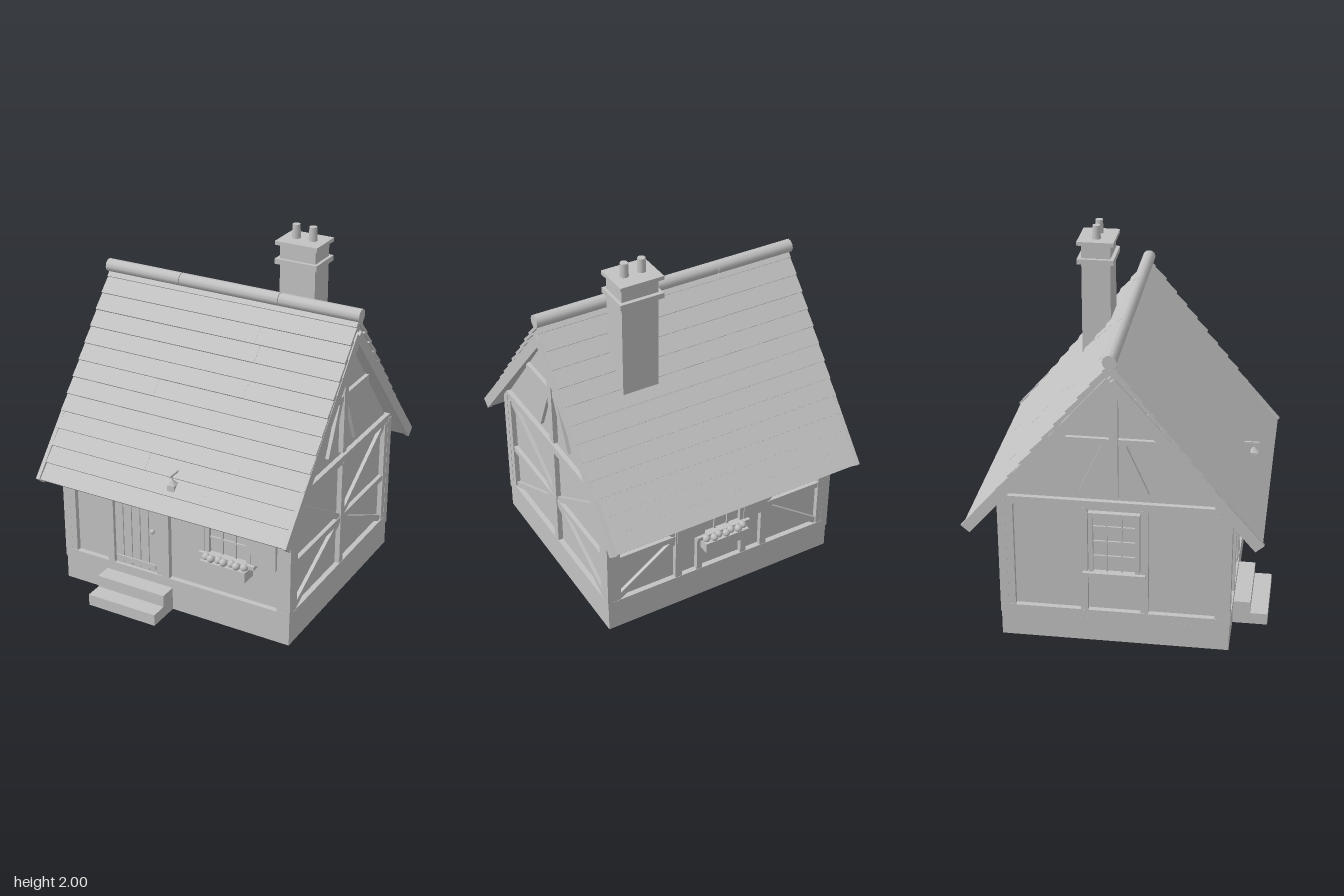
import * as THREE from 'three';

const stone = new THREE.MeshStandardMaterial({ color: 0xc2c2c2 });
stone.name = 'plain grey';

function add(parent, name, geo, x = 0, y = 0, z = 0) {
  const m = new THREE.Mesh(geo, stone);
  m.name = name;
  m.position.set(x, y, z);
  parent.add(m);
  return m;
}

// box given by its minimum and maximum on each axis
function span(parent, name, x0, x1, y0, y1, z0, z1) {
  return add(parent, name, new THREE.BoxGeometry(x1 - x0, y1 - y0, z1 - z0),
    (x0 + x1) / 2, (y0 + y1) / 2, (z0 + z1) / 2);
}

// timber lying on a wall, from (u1,v1) to (u2,v2)
function beam(wall, name, u1, v1, u2, v2, w = 0.04, d = 0.028) {
  const len = Math.hypot(u2 - u1, v2 - v1);
  const m = add(wall, name, new THREE.BoxGeometry(len, w, d), (u1 + u2) / 2, (v1 + v2) / 2, d / 2);
  m.rotation.z = Math.atan2(v2 - v1, u2 - u1);
  return m;
}

// wall group: local x runs along the wall, local z points outwards
function wallGroup(parent, name, angle, dist) {
  const g = new THREE.Group();
  g.name = name;
  g.rotation.y = angle;
  g.position.set(Math.sin(angle) * dist, 0, Math.cos(angle) * dist);
  parent.add(g);
  return g;
}

let seed = 7;
const rand = () => (seed = (seed * 16807) % 2147483647) / 2147483647;

function addWindow(wall, u, shutters, box) {
  const g = new THREE.Group();
  g.name = 'window';
  g.position.x = u;
  wall.add(g);
  const h = 0.135, b = 0.43, t = 0.78;
  span(g, 'glass', -h, h, b, t, 0, 0.008);
  for (const s of [-1, 1]) beam(g, 'windowJamb', s * (h - 0.012), b, s * (h - 0.012), t, 0.024, 0.03);
  beam(g, 'windowHead', -h, t - 0.012, h, t - 0.012, 0.024, 0.03);
  for (const x of [-0.04, 0.04]) beam(g, 'glazingBar', x, b, x, t, 0.01, 0.018);
  for (const k of [1, 2, 3]) beam(g, 'glazingBar', -h, b + k * 0.0875, h, b + k * 0.0875, 0.01, 0.018);
  span(g, 'windowSill', -h - 0.03, h + 0.03, 0.408, 0.43, 0, 0.05);
  if (shutters) for (const s of [-1, 1]) {
    const x = s * (h + 0.075);
    span(g, 'shutter', x - 0.073, x + 0.073, b, t, 0, 0.032);
  }
  if (box) {
    span(g, 'flowerBox', -h, h, 0.345, 0.405, 0, 0.088);
    for (let i = 0; i < 7; i++)
      add(g, 'flower', new THREE.IcosahedronGeometry(0.022, 1), -0.115 + i * 0.038, 0.416 + 0.006 * (i % 2), 0.055 + 0.018 * (i % 2));
  }
}

// upper and lower brace with a middle rail, between an outer and an inner post
function braces(wall, outer, inner) {
  beam(wall, 'middleRail', outer, 0.463, inner, 0.463, 0.034, 0.024);
  beam(wall, 'upperBrace', outer, 0.79, inner, 0.48, 0.034, 0.02);
  beam(wall, 'lowerBrace', outer, 0.2, inner, 0.45, 0.034, 0.02);
}

// sill, top plate and end posts
function frame(wall, half, post) {
  beam(wall, 'sillBeam', -half, 0.168, half, 0.168, 0.045, 0.03);
  beam(wall, 'topPlate', -half, 0.825, half, 0.825, 0.045, 0.027);
  for (const s of [-1, 1]) beam(wall, 'endPost', s * post, 0.19, s * post, 0.805, 0.038);
}

function gableWall(parent, side) {
  const wall = wallGroup(parent, side > 0 ? 'leftWall' : 'rightWall', side * Math.PI / 2, 0.675);
  const shape = new THREE.Shape([[-0.59, 0.14], [0.59, 0.14], [0.59, 0.83], [0, 1.56], [-0.59, 0.83]]
    .map(p => new THREE.Vector2(...p)));
  add(wall, 'gablePanel', new THREE.ExtrudeGeometry(shape, { depth: 0.04, bevelEnabled: false }), 0, 0, -0.04);
  frame(wall, 0.6, 0.55);
  beam(wall, 'kingPost', 0, 0.87, 0, 1.52, 0.044);
  beam(wall, 'collarBeam', -0.29, 1.19, 0.29, 1.19, 0.032, 0.022);
  for (const s of [-1, 1]) beam(wall, 'gableStrut', s * 0.165, 0.895, s * 0.035, 1.19, 0.036, 0.02);
  if (side > 0) {
    beam(wall, 'centrePost', 0, 0.19, 0, 0.81, 0.044);
    for (const s of [-1, 1]) braces(wall, s * 0.53, s * 0.02);
  } else {
    for (const s of [-1, 1]) beam(wall, 'windowPost', s * 0.16, 0.19, s * 0.16, 0.81, 0.04);
    addWindow(wall, 0, false, false);
  }
}

function frontWall(parent) {
  const wall = wallGroup(parent, 'frontWall', 0, 0.585);
  span(wall, 'wallPanel', -0.675, 0.675, 0.14, 0.82, -0.04, 0);
  frame(wall, 0.68, 0.645);
  for (const x of [-0.398, -0.088, -0.047]) beam(wall, 'doorPost', x, 0.15, x, 0.81, 0.04, x < -0.06 && x > -0.1 ? 0.024 : 0.03);
  // planked door with two iron straps and a knob
  const w = 0.054;
  for (let i = 0; i < 5; i++) span(wall, 'doorPlank', -0.376 + i * w, -0.376 + (i + 1) * w - 0.005, 0.19, 0.76, -0.01, 0.012);
  for (const y of [0.225, 0.665]) span(wall, 'doorStrap', -0.37, -0.12, y - 0.014, y + 0.014, 0.01, 0.019);
  add(wall, 'doorKnob', new THREE.SphereGeometry(0.014, 10, 8), -0.13, 0.45, 0.025);
  addWindow(wall, 0.335, true, true);
}

function backWall(parent) {
  const wall = wallGroup(parent, 'backWall', Math.PI, 0.585);
  span(wall, 'wallPanel', -0.675, 0.675, 0.14, 0.82, -0.04, 0);
  frame(wall, 0.68, 0.645);
  for (const s of [-1, 1]) {
    beam(wall, 'windowPost', s * 0.27, 0.19, s * 0.27, 0.81, 0.04);
    beam(wall, 'lowerStud', s * 0.14, 0.19, s * 0.14, 0.41, 0.034);
    braces(wall, s * 0.63, s * 0.28);
  }
  addWindow(wall, 0, true, true);
}

function roofSlope(parent, turn) {
  const side = new THREE.Group();
  side.name = turn ? 'backRoof' : 'frontRoof';
  side.rotation.y = turn;
  side.position.set(0, 1.66, -0.008);
  parent.add(side);
  const slope = new THREE.Group();
  slope.rotation.x = Math.atan(1.256);
  side.add(slope);
  span(slope, 'roofBoard', -0.745, 0.745, -0.05, -0.018, 0.03, 1.235);
  // overlapping shingle courses, thicker at the lower edge
  for (let i = 0; i < 13; i++) {
    const low = 1.25 - i * 0.0985, len = Math.min(0.13, low - 0.01);
    const cuts = [-0.757, -0.35 + rand() * 0.3, 0.1 + rand() * 0.4, 0.757];
    for (let k = 0; k < 3; k++) {
      const m = add(slope, 'shingle', new THREE.BoxGeometry(cuts[k + 1] - cuts[k], 0.016, len),
        (cuts[k] + cuts[k + 1]) / 2, -0.015 + rand() * 0.002, low - len / 2);
      m.rotation.x = -0.11;
    }
  }
  // barge boards at both gable ends
  for (const x of [-0.748, 0.748]) {
    const z1 = 0.765, y1 = 0.667 - 1.66, y0 = 1.545 - 1.66;
    const m = add(side, 'bargeBoard', new THREE.BoxGeometry(0.022, 0.06, Math.hypot(z1, y1 - y0)), x, (y0 + y1) / 2, z1 / 2);
    m.rotation.x = Math.atan2(y0 - y1, z1);
  }
}

export function createModel() {
  const house = new THREE.Group();
  house.name = 'cottage';

  // open stone base
  const outline = new THREE.Shape([[-0.7, -0.61], [0.7, -0.61], [0.7, 0.61], [-0.7, 0.61]].map(p => new THREE.Vector2(...p)));
  outline.holes.push(new THREE.Path([[-0.53, -0.44], [-0.53, 0.44], [0.53, 0.44], [0.53, -0.44]].map(p => new THREE.Vector2(...p))));
  const base = add(house, 'plinth', new THREE.ExtrudeGeometry(outline, { depth: 0.142, bevelEnabled: false }));
  base.rotation.x = -Math.PI / 2;
  span(house, 'lowerStep', -0.43, -0.01, 0, 0.066, 0.6, 0.8);
  span(house, 'upperStep', -0.43, -0.01, 0.066, 0.134, 0.6, 0.705);

  frontWall(house);
  backWall(house);
  for (const x of [-1, 1]) {
    gableWall(house, x);
    for (const z of [-1, 1])
      add(house, 'cornerPost', new THREE.BoxGeometry(0.045, 0.68, 0.045), x * 0.682, 0.482, z * 0.591);
  }

  roofSlope(house, 0);
  roofSlope(house, Math.PI);

  // ridge caps
  for (const [a, b] of [[-0.768, -0.302], [-0.298, 0.298], [0.302, 0.768]]) {
    const cap = add(house, 'ridgeCap', new THREE.CylinderGeometry(0.037, 0.037, b - a, 10), (a + b) / 2, 1.657, -0.008);
    cap.rotation.z = Math.PI / 2;
  }

  // chimney
  const chimney = new THREE.Group();
  chimney.name = 'chimney';
  house.add(chimney);
  span(chimney, 'chimneyStack', 0.22, 0.428, 1.22, 1.91, -0.31, -0.15);
  span(chimney, 'chimneyBand', 0.198, 0.445, 1.797, 1.826, -0.332, -0.13);
  span(chimney, 'chimneyCap', 0.198, 0.445, 1.903, 1.924, -0.332, -0.13);
  for (const x of [0.272, 0.37])
    add(chimney, 'chimneyPot', new THREE.CylinderGeometry(0.021, 0.024, 0.08, 10), x, 1.96, -0.233);

  // lantern on a bracket beside the door
  const lantern = new THREE.Group();
  lantern.name = 'lantern';
  house.add(lantern);
  span(lantern, 'lanternArm', 0.035, 0.045, 0.862, 0.872, 0.6, 0.7);
  span(lantern, 'lanternHook', 0.037, 0.043, 0.83, 0.865, 0.669, 0.675);
  span(lantern, 'lanternBody', 0.02, 0.06, 0.765, 0.815, 0.652, 0.692);
  const top = add(lantern, 'lanternTop', new THREE.ConeGeometry(0.034, 0.03, 4), 0.04, 0.83, 0.672);
  top.rotation.y = Math.PI / 4;

  return house;
}
